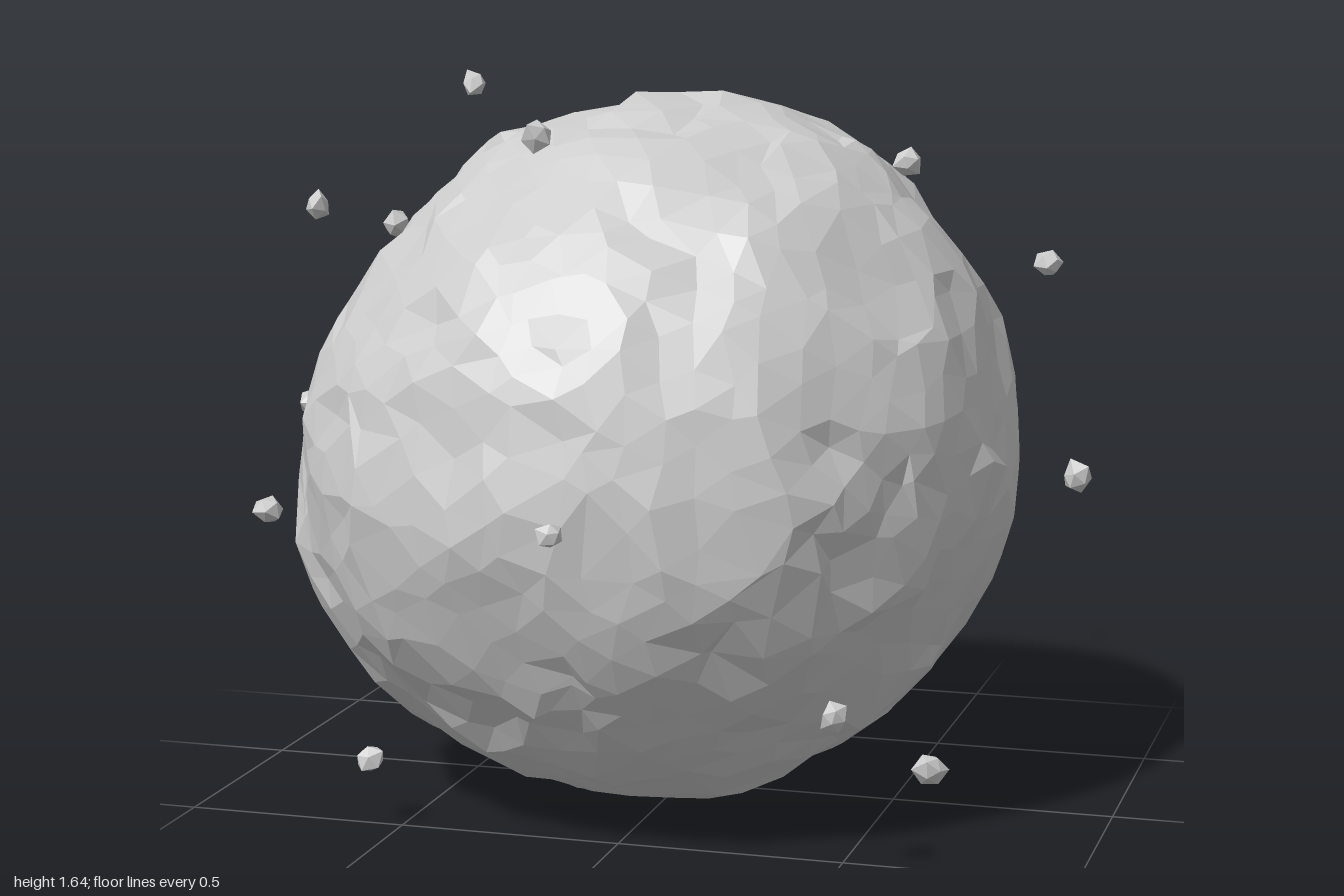
import * as THREE from 'three';

const rock = () => new THREE.MeshStandardMaterial({ color: 0xcccccc, flatShading: true });

// Seeded lattice value in -1..1
function hash(x, y, z) {
  const s = Math.sin(x * 127.1 + y * 311.7 + z * 74.7) * 43758.5453;
  return (s - Math.floor(s)) * 2 - 1;
}

// Smooth value noise, -1..1
function noise(p, freq, seed) {
  const q = [p.x, p.y, p.z].map((v) => v * freq + seed);
  const i = q.map(Math.floor);
  const f = q.map((v, k) => { const t = v - i[k]; return t * t * (3 - 2 * t); });
  let sum = 0;
  for (let c = 0; c < 8; c++) {
    const b = [c & 1, (c >> 1) & 1, c >> 2];
    const w = b.reduce((a, v, k) => a * (v ? f[k] : 1 - f[k]), 1);
    sum += w * hash(i[0] + b[0], i[1] + b[1], i[2] + b[2]);
  }
  return sum;
}

// Moves every vertex by a rule that depends on its direction only
function reshape(geometry, rule) {
  const pos = geometry.attributes.position;
  const v = new THREE.Vector3();
  for (let i = 0; i < pos.count; i++) {
    v.fromBufferAttribute(pos, i).normalize();
    rule(v);
    pos.setXYZ(i, v.x, v.y, v.z);
  }
  geometry.computeVertexNormals();
  return geometry;
}

// Broad swellings and dents of the boulder: direction, height
const swells = [
  [-0.8, 0.6, 0.1, -0.035], [0, 0.6, 0.8, -0.025], [-0.6, 0.1, -0.8, -0.025],
  [-0.87, -0.47, 0, 0.035], [0.85, 0.1, -0.5, 0.025], [0.45, 0.88, 0, 0.015],
  [-0.65, -0.2, 0.72, 0.025], [0.9, 0.42, 0, 0.02], [0.9, -0.4, 0, 0.015],
  [1, 0, 0.15, -0.025], [0.4, 0.55, -0.7, 0.022], [-1, 0.05, 0, 0.012], [0, 0, 1, 0.014],
].map(([x, y, z, h]) => ({ dir: new THREE.Vector3(x, y, z).normalize(), h }));

function createBoulder() {
  const geometry = reshape(new THREE.IcosahedronGeometry(1, 10), (v) => {
    const n = v.clone();
    let r = 0.792;
    for (const { dir, h } of swells) r += h * Math.exp(7 * (n.dot(dir) - 1));
    r += 0.01 * noise(n, 3.5, 11) + 0.022 * noise(n, 7, 5);
    // sideways drift makes the facets irregular
    v.x += 0.06 * noise(n, 9, 21);
    v.y += 0.06 * noise(n, 9, 37);
    v.z += 0.06 * noise(n, 9, 53);
    v.normalize().multiplyScalar(r);
    v.x -= 0.05;
    v.y = Math.max(v.y + 0.795, 0.005);
    v.z += 0.02;
  });
  const mesh = new THREE.Mesh(geometry, rock());
  mesh.name = 'boulder';
  return mesh;
}

// Floating chips: x, y, z, radius
const chips = [
  [-0.49, 1.61, 0, 0.034], [-0.155, 1.54, 0.565, 0.034], [0.575, 1.48, 0.285, 0.034],
  [-0.77, 1.35, 0.27, 0.034], [-0.8, 1.25, -0.29, 0.036], [0.79, 1.21, -0.245, 0.032],
  [-0.965, 0.83, -0.165, 0.038], [0.96, 0.84, 0.365, 0.036], [-0.85, 0.675, 0.395, 0.036],
  [-0.015, 0.765, 0.905, 0.033], [0.515, 0.365, 0.655, 0.033], [-0.57, 0.155, 0.51, 0.034],
  [0.62, 0.13, 0.17, 0.042], [0.4, 0.145, -0.5, 0.034], [-0.125, 1.06, -0.915, 0.034],
  [-0.16, 0.495, -0.79, 0.033], [-0.425, 1.19, -0.785, 0.024], [0.275, 1.2, -0.83, 0.021],
];

function createChip([x, y, z, size], index) {
  const geometry = reshape(new THREE.IcosahedronGeometry(1, 0), (v) => {
    v.multiplyScalar(size * (0.95 + 0.25 * noise(v, 2.3, index * 7 + 3)));
  });
  const mesh = new THREE.Mesh(geometry, rock());
  mesh.position.set(x, y, z);
  if (size < 0.03) { // thin splinters
    mesh.scale.set(1.2, 0.8, 0.4);
    mesh.rotation.y = -0.5;
  } else {
    mesh.rotation.set(index * 1.3, index * 2.1, 0);
  }
  mesh.name = 'chip' + (index + 1);
  return mesh;
}

export function createModel() {
  const model = new THREE.Group();
  model.name = 'asteroid';
  const debris = new THREE.Group();
  debris.name = 'debris';
  debris.add(...chips.map(createChip));
  model.add(createBoulder(), debris);
  return model;
}
